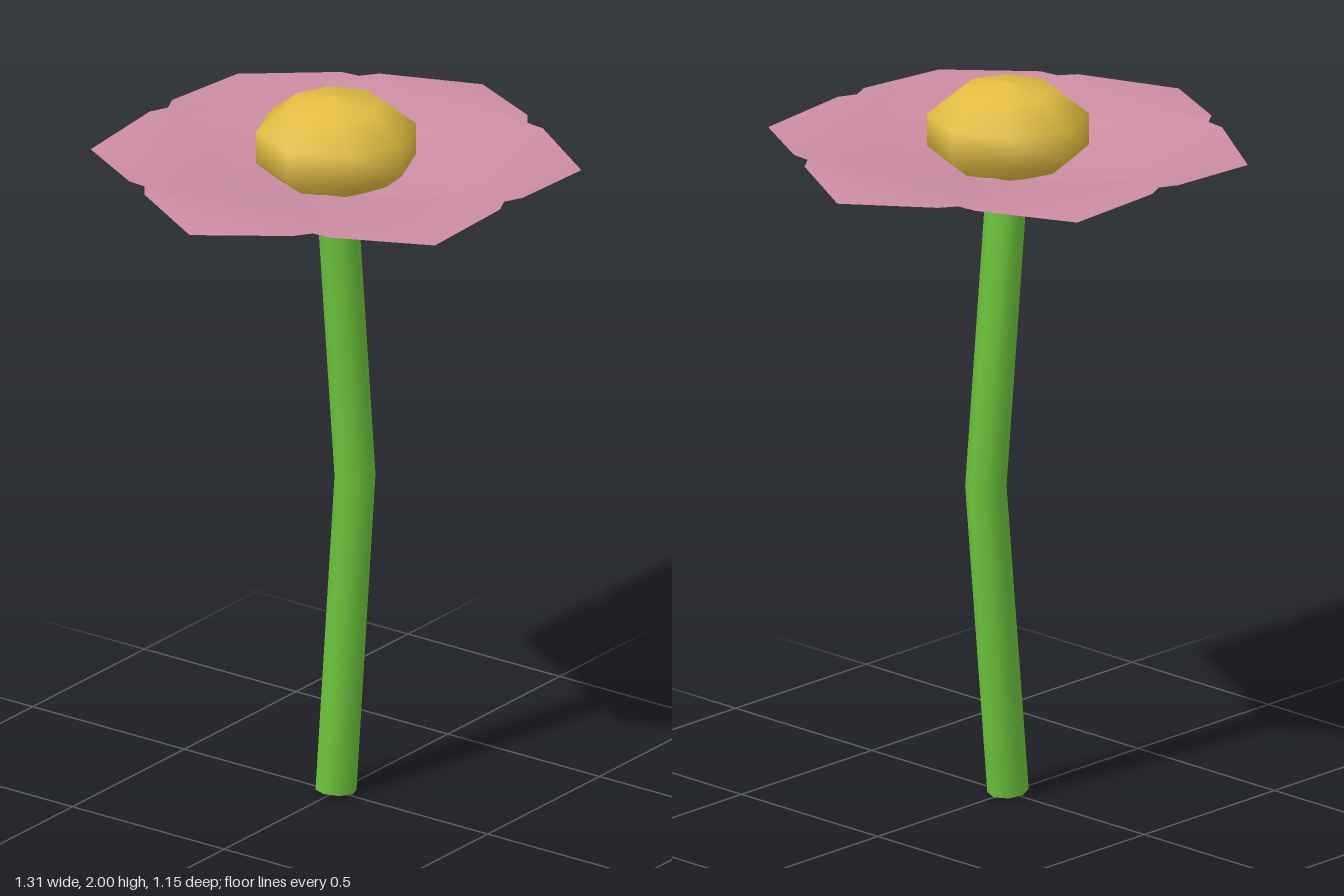
import * as THREE from 'three';

const stemGreen = new THREE.MeshStandardMaterial({ name: 'stemGreen', color: 0x6cc23c });
const petalPink = new THREE.MeshStandardMaterial({ name: 'petalPink', color: 0xcc8ca3, side: THREE.DoubleSide });
const centreYellow = new THREE.MeshStandardMaterial({ name: 'centreYellow', color: 0xe2bc42 });

// Bent stem: octagonal rings, mitred at the bend, closed at both ends
function stemGeometry() {
  const sides = 8, radius = 0.055;
  // [centre x, centre y, slope of the cut]
  const rings = [[0, 0.01, -0.1], [0.085, 0.885, 0], [0, 1.76, 0.1]];
  const positions = [], index = [];
  const addRing = ([cx, cy, slope]) => {
    for (let i = 0; i < sides; i++) {
      const a = (i / sides) * Math.PI * 2;
      const dx = Math.cos(a) * radius;
      positions.push(cx + dx, cy + dx * slope, Math.sin(a) * radius);
    }
  };
  rings.forEach(addRing);
  for (let r = 0; r < rings.length - 1; r++) {
    for (let i = 0; i < sides; i++) {
      const a = r * sides + i, b = r * sides + (i + 1) % sides;
      index.push(a, a + sides, b, b, a + sides, b + sides);
    }
  }
  // separate cap rings keep the end edges sharp
  [rings[0], rings[2]].forEach((ring, top) => {
    const start = positions.length / 3;
    addRing(ring);
    for (let i = 1; i < sides - 1; i++) {
      if (top) index.push(start, start + i + 1, start + i);
      else index.push(start, start + i, start + i + 1);
    }
  });
  return buildGeometry(positions, index);
}

// Petal along +x: thin sheet whose edges curl slightly upward
function petalGeometry() {
  // [distance out, half width, middle height, edge height]
  const rows = [
    [0.07, 0.025, 1.765, 1.768],
    [0.19, 0.12, 1.775, 1.785],
    [0.33, 0.335, 1.802, 1.816],
    [0.42, 0.32, 1.816, 1.832],
    [0.525, 0.245, 1.827, 1.831],
    [0.655, 0, 1.817, 1.817],
  ];
  const columns = 4, positions = [], index = [];
  rows.forEach(([x, half, mid, edge]) => {
    for (let c = 0; c <= columns; c++) {
      const t = (c / columns) * 2 - 1;
      positions.push(x, mid + (edge - mid) * t * t, half * t);
    }
  });
  const stride = columns + 1;
  for (let r = 0; r < rows.length - 1; r++) {
    for (let c = 0; c < columns; c++) {
      const a = r * stride + c, b = a + stride;
      index.push(a, a + 1, b);
      if (r < rows.length - 2) index.push(a + 1, b + 1, b);
    }
  }
  // the last row meets in one tip point
  const last = (rows.length - 1) * stride;
  return buildGeometry(positions, index.map((i) => (i > last ? last : i)));
}

function buildGeometry(positions, index) {
  const geometry = new THREE.BufferGeometry();
  geometry.setAttribute('position', new THREE.Float32BufferAttribute(positions, 3));
  geometry.setIndex(index);
  geometry.computeVertexNormals();
  return geometry;
}

export function createModel() {
  const flower = new THREE.Group();
  flower.name = 'flower';

  const stem = new THREE.Mesh(stemGeometry(), stemGreen);
  stem.name = 'stem';
  flower.add(stem);

  // Ring of six overlapping petals
  const petals = new THREE.Group();
  petals.name = 'petals';
  const petalShape = petalGeometry();
  for (let i = 0; i < 6; i++) {
    const petal = new THREE.Mesh(petalShape, petalPink);
    petal.name = `petal${i + 1}`;
    petal.rotation.y = (i * Math.PI) / 3;
    petals.add(petal);
  }
  flower.add(petals);

  // Domed eight-sided flower centre
  const profile = [[0, 1.74], [0.14, 1.758], [0.215, 1.82], [0.215, 1.908], [0.13, 1.975], [0, 2]];
  const centre = new THREE.Mesh(
    new THREE.LatheGeometry(profile.map(([x, y]) => new THREE.Vector2(x, y)), 8),
    centreYellow
  );
  centre.name = 'flowerCentre';
  flower.add(centre);

  return flower;
}
